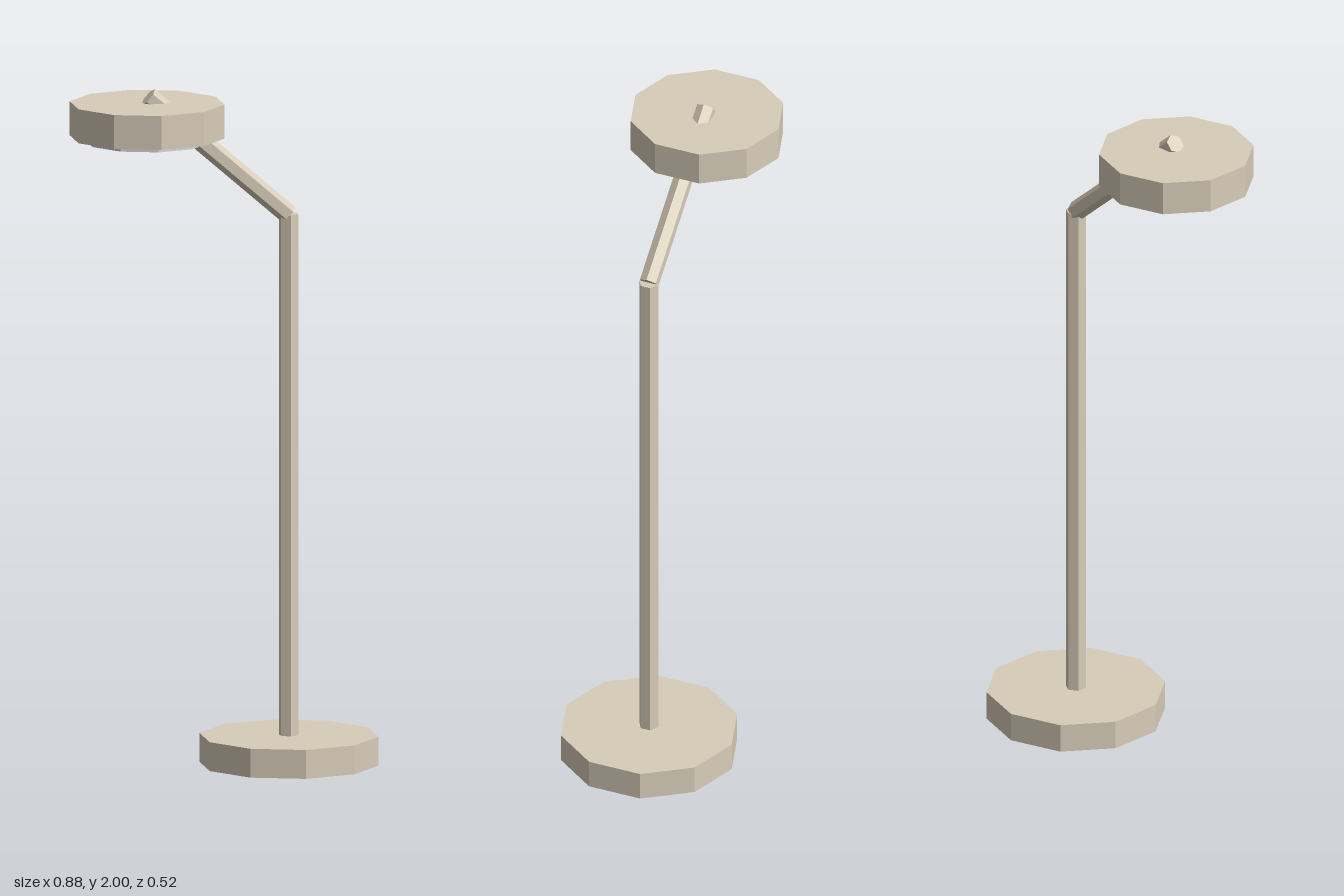
import * as THREE from 'three';

export function createModel() {
  const group = new THREE.Group();
  group.name = 'floorLamp';

  const metal = new THREE.MeshStandardMaterial({ color: 0xd8cdb9, flatShading: true });
  metal.name = 'beige metal';
  const glow = new THREE.MeshStandardMaterial({ color: 0xdadada, flatShading: true });
  glow.name = 'pale diffuser';

  // Upright prism with one corner facing +z, spanning y0 to y1
  function prism(name, material, radius, sides, x, y0, y1) {
    const mesh = new THREE.Mesh(new THREE.CylinderGeometry(radius, radius, y1 - y0, sides), material);
    mesh.name = name;
    mesh.position.set(x, (y0 + y1) / 2, 0);
    group.add(mesh);
    return mesh;
  }

  prism('base', metal, 0.262, 10, 0.191, 0, 0.085);
  prism('pole', metal, 0.03, 6, 0.191, 0.085, 1.62);
  prism('head', metal, 0.2265, 10, -0.228, 1.86, 1.96);
  prism('diffuser', glow, 0.18, 10, -0.228, 1.845, 1.862);

  // Slanted arm from the pole top up through the head, ridge uppermost
  const start = new THREE.Vector3(0.19, 1.618, 0);
  const end = new THREE.Vector3(-0.224, 1.978, 0);
  const dir = end.clone().sub(start);
  const geometry = new THREE.CylinderGeometry(0.029, 0.029, dir.length(), 6);
  geometry.rotateY(Math.PI / 2);
  const arm = new THREE.Mesh(geometry, metal);
  arm.name = 'arm';
  arm.position.copy(start).add(end).multiplyScalar(0.5);
  arm.rotation.z = Math.atan2(-dir.x, dir.y);
  group.add(arm);

  return group;
}
